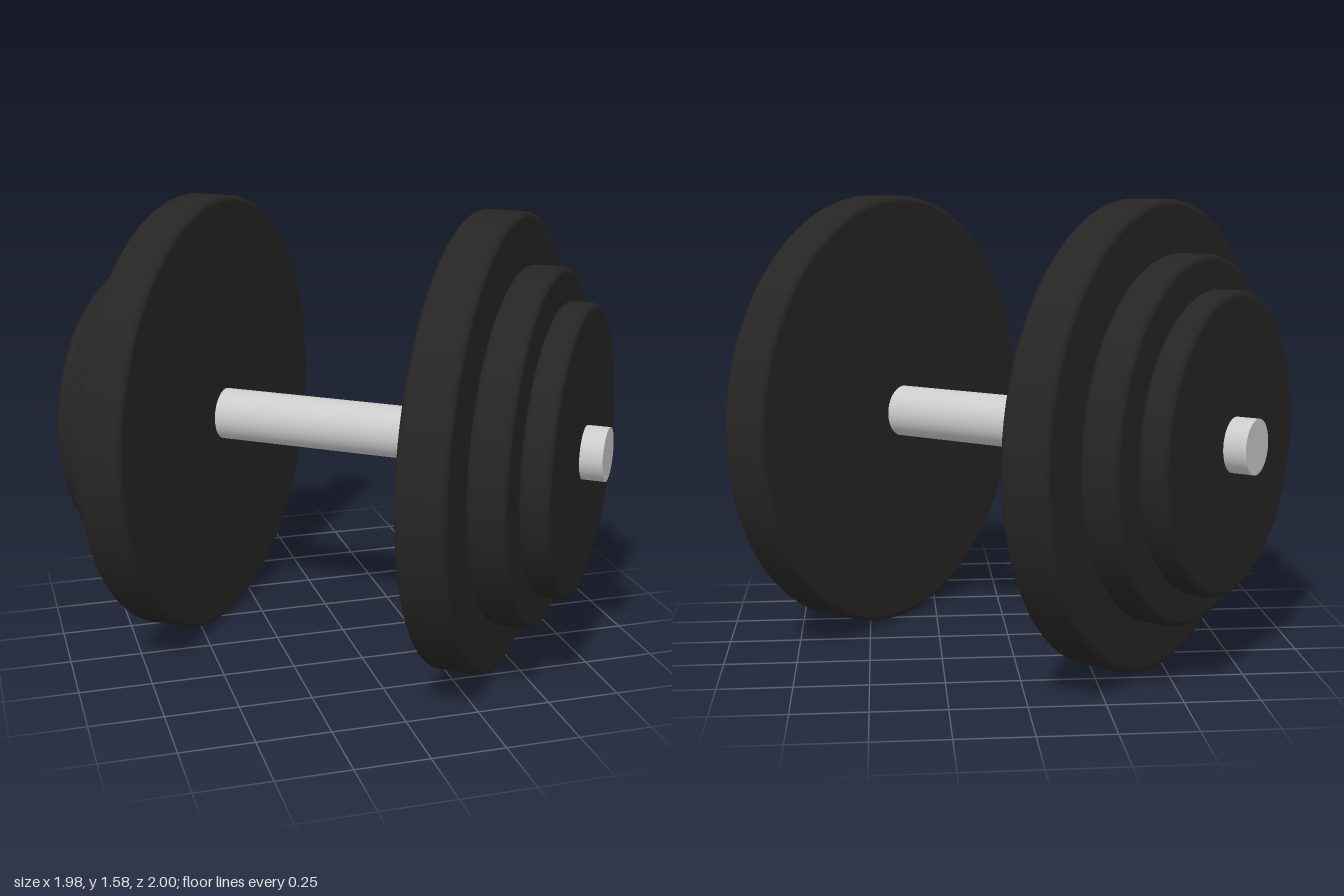
import * as THREE from 'three';

const rubber = new THREE.MeshStandardMaterial({ color: 0x262523 });
const steel = new THREE.MeshStandardMaterial({ color: 0xcccccc });

// Solid disc along the x axis with rounded rims
function discGeometry(radius, thickness, bevel) {
  const h = thickness / 2;
  const steps = 6;
  const profile = [new THREE.Vector2(0, -h)];
  for (const side of [-1, 1]) {
    for (let i = 0; i <= steps; i++) {
      const t = (i / steps) * Math.PI / 2;
      const a = side < 0 ? t - Math.PI / 2 : t;
      profile.push(new THREE.Vector2(
        radius - bevel + bevel * Math.cos(a),
        side * (h - bevel) + bevel * Math.sin(a)
      ));
    }
  }
  profile.push(new THREE.Vector2(0, h));
  return new THREE.LatheGeometry(profile, 96).rotateZ(-Math.PI / 2);
}

export function createModel() {
  const model = new THREE.Group();
  model.name = 'dumbbell';

  // Handle bar running through all plates
  const bar = new THREE.Mesh(
    new THREE.CylinderGeometry(0.0925, 0.0925, 1.9, 48).rotateZ(Math.PI / 2), steel);
  bar.name = 'bar';
  model.add(bar);

  // Plates per side: inner and outer distance from the middle, radius
  const plates = [
    { name: 'largePlate', from: 0.46, to: 0.628, radius: 0.79 },
    { name: 'mediumPlate', from: 0.633, to: 0.765, radius: 0.615 },
    { name: 'smallPlate', from: 0.77, to: 0.872, radius: 0.502 },
  ];
  for (const { name, from, to, radius } of plates) {
    const geometry = discGeometry(radius, to - from, 0.022);
    for (const side of [-1, 1]) {
      const plate = new THREE.Mesh(geometry, rubber);
      plate.name = name + (side > 0 ? 'Left' : 'Right');
      plate.position.x = side * (from + to) / 2;
      model.add(plate);
    }
  }

  // Resting on the large plates, turned diagonally
  model.rotation.y = -Math.atan2(0.6, 0.8);
  model.position.y = 0.79;
  return model;
}
